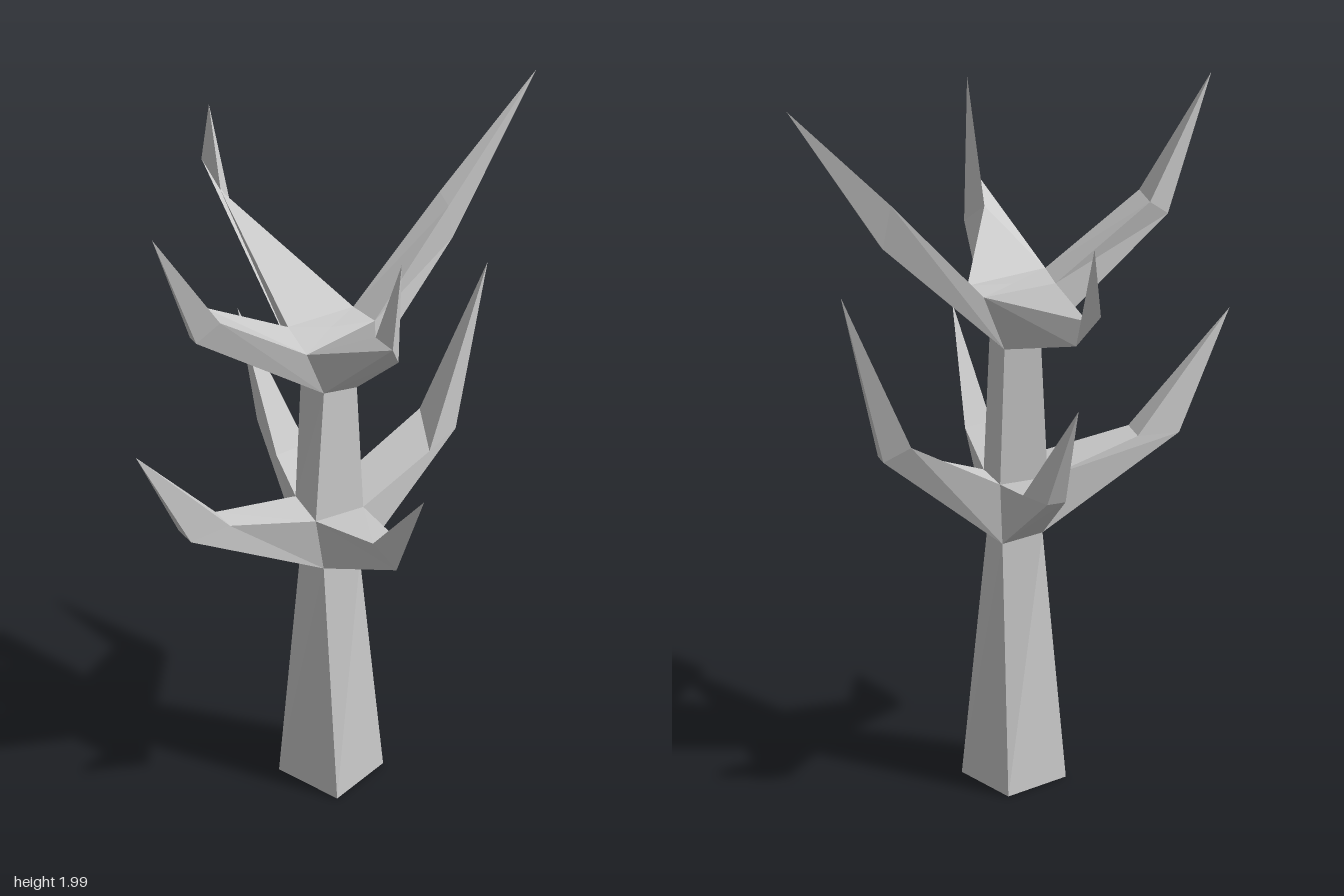
import * as THREE from 'three';

const material = new THREE.MeshStandardMaterial({ color: 0xcccccc, flatShading: true, side: THREE.DoubleSide });

// Skin four-cornered rings together; repeated points collapse to triangles.
function loft(name, rings) {
  const pos = [];
  const tri = (...pts) => {
    const [a, b, c] = pts.map((p) => new THREE.Vector3(...p));
    if (new THREE.Triangle(a, b, c).getArea() > 1e-7) pos.push(...pts.flat());
  };
  for (let r = 0; r + 1 < rings.length; r++) {
    const lo = rings[r], hi = rings[r + 1];
    for (let i = 0; i < 4; i++) {
      const j = (i + 1) % 4;
      tri(lo[i], lo[j], hi[j]);
      tri(lo[i], hi[j], hi[i]);
    }
  }
  const geometry = new THREE.BufferGeometry();
  geometry.setAttribute('position', new THREE.Float32BufferAttribute(pos, 3));
  geometry.computeVertexNormals();
  const mesh = new THREE.Mesh(geometry, material);
  mesh.name = name;
  return mesh;
}

// Trunk rings, corners: front-left of view, front-right, back-right, back-left
const base = [[-0.08, 0, 0.205], [0.1, 0, 0.14], [0.04, 0, -0.04], [-0.14, 0, 0.02]];
const lowerFork = [
  [[-0.08, 0.7, 0.14], [0.03, 0.685, 0.14], [0.03, 0.685, 0.03], [-0.08, 0.7, 0.03]],
  [[-0.11, 0.87, 0.15], [0.04, 0.85, 0.14], [0.04, 0.86, 0.02], [-0.09, 0.86, 0.02]],
];
const upperFork = [
  [[-0.07, 1.25, 0.125], [0.03, 1.23, 0.125], [0.03, 1.245, 0.015], [-0.07, 1.25, 0.015]],
  [[-0.125, 1.4, 0.13], [0.1, 1.4, 0.1], [0.085, 1.4, 0.02], [-0.11, 1.41, 0.015]],
];

// Per branch: elbow (bottom start, bottom end, top end, top start) and tip
const lowerBranches = {
  Front: [[[-0.01, 0.82, 0.38], [-0.01, 0.82, 0.38], [0.02, 0.88, 0.33], [-0.05, 0.89, 0.33]], [-0.02, 1.14, 0.53]],
  Left: [[[0.345, 0.955, 0.1], [0.345, 0.955, 0.06], [0.28, 1.0, 0.03], [0.25, 0.935, 0.125]], [0.455, 1.435, 0.08]],
  Back: [[[0.01, 0.915, -0.245], [-0.04, 0.915, -0.245], [-0.06, 0.89, -0.12], [0.03, 0.89, -0.12]], [-0.04, 1.215, -0.34]],
  Right: [[[-0.46, 0.915, 0.045], [-0.46, 0.915, 0.105], [-0.345, 0.925, 0.11], [-0.345, 0.925, 0.04]], [-0.61, 1.23, 0.077]],
};
const upperBranches = {
  Front: [[[-0.04, 1.56, 0.41], [0.015, 1.46, 0.35], [-0.02, 1.52, 0.295], [-0.02, 1.52, 0.295]], [-0.02, 1.835, 0.422]],
  Left: [[[0.345, 1.56, 0.085], [0.345, 1.56, 0.065], [0.33, 1.69, 0.047], [0.33, 1.67, 0.09]], [0.605, 1.99, 0.075]],
  Back: [[[0.01, 1.46, -0.455], [-0.03, 1.57, -0.53], [-0.025, 1.52, -0.445], [-0.025, 1.52, -0.445]], [-0.02, 1.755, -0.51]],
  Right: [[[-0.435, 1.535, 0.06], [-0.435, 1.535, 0.09], [-0.375, 1.59, 0.11], [-0.375, 1.59, 0.03]], [-0.56, 1.91, 0.075]],
};

// Four branches growing out of the sides of a fork
function makeBranches(prefix, [lo, hi], specs) {
  const group = new THREE.Group();
  group.name = prefix + 'Branches';
  Object.entries(specs).forEach(([side, [elbow, tip]], i) => {
    const j = (i + 1) % 4;
    const root = [lo[i], lo[j], hi[j], hi[i]];
    group.add(loft(`${prefix}${side}Branch`, [root, elbow, Array(4).fill(tip)]));
  });
  return group;
}

export function createModel() {
  const tree = new THREE.Group();
  tree.name = 'bareTree';
  tree.add(loft('lowerTrunk', [base, lowerFork[0]]));
  tree.add(loft('upperTrunk', [lowerFork[1], upperFork[0]]));
  // Flat top between the upper branches
  const middle = Array(4).fill([-0.012, 1.403, 0.066]);
  tree.add(loft('crownTop', [upperFork[1], middle]));
  tree.add(makeBranches('lower', lowerFork, lowerBranches));
  tree.add(makeBranches('upper', upperFork, upperBranches));
  return tree;
}
